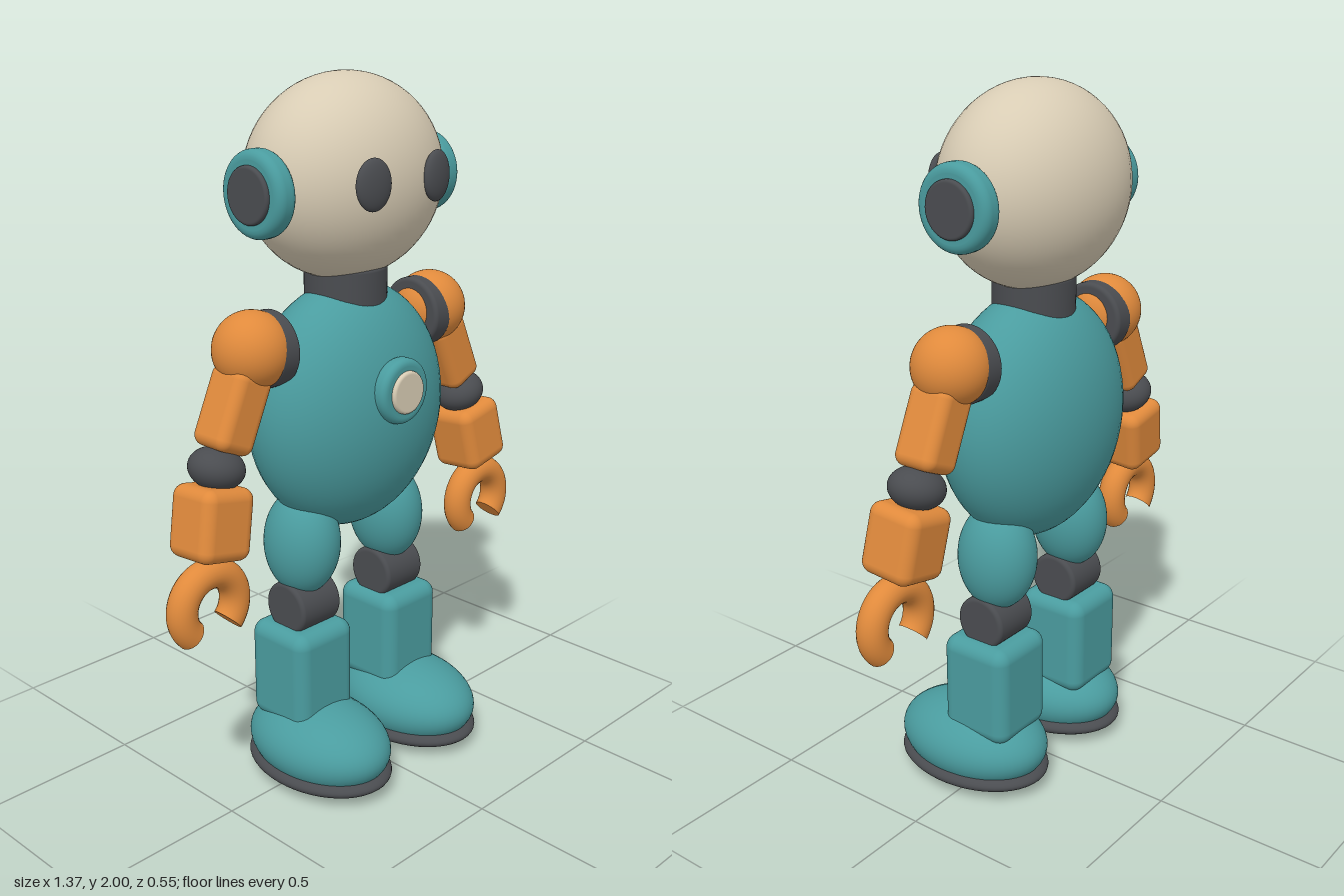
import * as THREE from 'three';
import { RoundedBoxGeometry } from 'three/addons/geometries/RoundedBoxGeometry.js';

const mat = (color) => new THREE.MeshStandardMaterial({ color });
const teal = mat(0x4a9c9f), cream = mat(0xd8ccb4), orange = mat(0xe08a3c), dark = mat(0x4a4c50);

export function createModel() {
  const model = new THREE.Group();
  model.name = 'robot';

  const add = (name, geometry, material, pos, rot = [0, 0, 0], parent = model) => {
    const mesh = new THREE.Mesh(geometry, material);
    mesh.name = name;
    mesh.position.set(...pos);
    mesh.rotation.set(...rot);
    parent.add(mesh);
    return mesh;
  };
  const ellipsoid = (rx, ry, rz) => new THREE.SphereGeometry(1, 48, 32).scale(rx, ry, rz);
  const box = (w, h, d, r) => new RoundedBoxGeometry(w, h, d, 5, r);

  // Disc along y with rounded rims
  const disc = (r, depth, bevel) => {
    const h = depth / 2, pts = [new THREE.Vector2(0, -h), new THREE.Vector2(r - bevel - 0.002, -h)];
    for (const end of [-1, 1]) {
      for (let i = 0; i <= 6; i++) {
        const a = ((end < 0 ? i - 6 : i) / 6) * Math.PI / 2;
        pts.push(new THREE.Vector2(r - bevel + bevel * Math.cos(a), end * (h - bevel) + bevel * Math.sin(a)));
      }
    }
    pts.push(new THREE.Vector2(r - bevel - 0.002, h), new THREE.Vector2(0, h));
    return new THREE.LatheGeometry(pts, 48);
  };

  // Head, neck and torso
  add('head', ellipsoid(0.305, 0.275, 0.232), cream, [0, 1.725, -0.04]);
  add('neck', disc(0.115, 0.13, 0.012), dark, [0, 1.425, -0.037]);
  add('torso', ellipsoid(0.328, 0.355, 0.212), teal, [0, 1.088, -0.035]);

  // Chest button
  add('chestRing', disc(0.092, 0.05, 0.018), teal, [0, 1.167, 0.17], [Math.PI / 2, 0, 0]);
  add('chestButton', disc(0.06, 0.05, 0.008), cream, [0, 1.167, 0.181], [Math.PI / 2, 0, 0]);

  for (const s of [1, -1]) {
    const side = new THREE.Group();
    side.name = s > 0 ? 'leftSide' : 'rightSide';
    model.add(side);
    // Position is given for the left side and mirrored in x
    const part = (name, geometry, material, [x, y, z], rx = 0, ry = 0, rz = 0) =>
      add(name, geometry, material, [s * x, y, z], [rx, s * ry, s * rz], side);

    // Face and ears
    part('eye', ellipsoid(0.055, 0.068, 0.022), dark, [0.12, 1.735, 0.182], 0, 0.15, 0);
    part('earRing', disc(0.115, 0.065, 0.024), teal, [0.312, 1.71, -0.037], 0, 0, Math.PI / 2);
    part('earPad', disc(0.076, 0.06, 0.008), dark, [0.326, 1.71, -0.037], 0, 0, Math.PI / 2);

    // Arm
    part('shoulderJoint', disc(0.103, 0.068, 0.012), dark, [0.3, 1.303, -0.037], 0, 0, Math.PI / 2);
    part('shoulder', ellipsoid(0.106, 0.106, 0.106), orange, [0.35, 1.31, -0.036]);
    part('upperArm', box(0.125, 0.22, 0.132, 0.03), orange, [0.423, 1.163, -0.034], 0, 0, 0.42);
    part('elbow', ellipsoid(0.077, 0.058, 0.077), dark, [0.487, 1.02, -0.03], 0, 0, 0.3);
    part('forearm', box(0.168, 0.196, 0.165, 0.033), orange, [0.52, 0.882, -0.018], -0.08, 0, 0.2);

    // Open ring hand with capped ends
    const hand = new THREE.Group();
    hand.name = 'hand';
    hand.position.set(s * 0.553, 0.659, -0.002);
    hand.rotation.z = -Math.PI / 4;
    side.add(hand);
    const R = 0.09, tube = 0.042;
    add('grip', new THREE.TorusGeometry(R, tube, 24, 48, Math.PI * 1.5), orange, [0, 0, 0], [0, 0, 0], hand);
    const cap = new THREE.CircleGeometry(tube, 24);
    add('gripEnd', cap, orange, [R, 0, 0], [Math.PI / 2, 0, 0], hand);
    add('gripEnd', cap, orange, [0, -R, 0], [0, -Math.PI / 2, 0], hand);

    // Leg
    part('thigh', ellipsoid(0.102, 0.155, 0.118), teal, [0.173, 0.715, -0.042], 0, 0, 0.05);
    part('knee', disc(0.077, 0.15, 0.012), dark, [0.175, 0.53, -0.036], 0, 0, Math.PI / 2);
    part('shin', box(0.218, 0.3, 0.22, 0.04), teal, [0.182, 0.326, -0.037]);

    // Foot with a flattened sole
    part('foot', ellipsoid(0.17, 0.12, 0.237), teal, [0.187, 0.12, 0.037]);
    part('sole', ellipsoid(0.173, 0.048, 0.24), dark, [0.187, 0.055, 0.037]);
  }
  return model;
}
